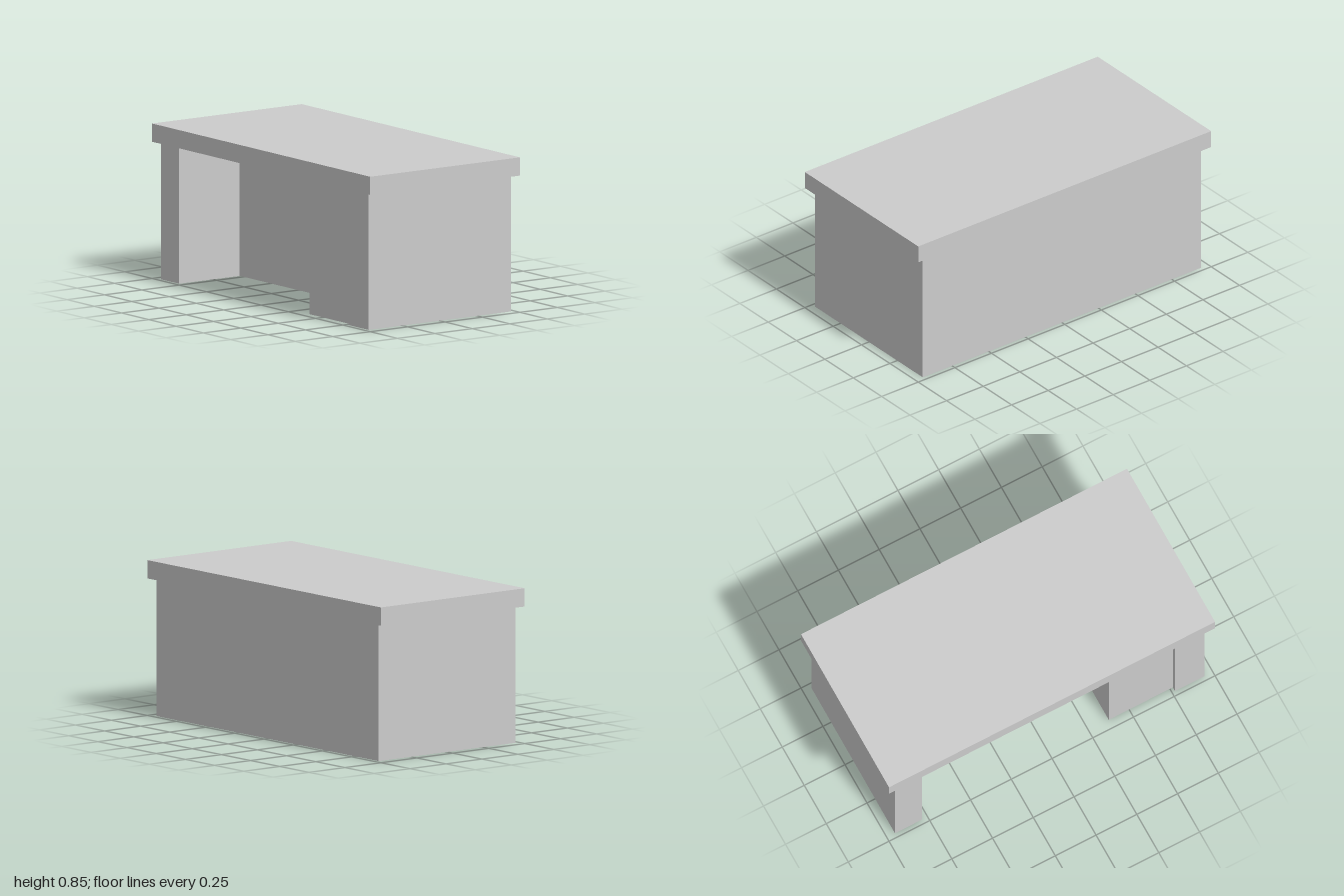
import * as THREE from 'three';

export function createModel() {
  const group = new THREE.Group();
  group.name = 'counter';
  const material = new THREE.MeshStandardMaterial({ color: 0xcccccc, flatShading: true });

  // Footprint as [x, z]: solid customer side, open knee space and stepped cupboard on the -x side
  const footprint = [
    [0.475, 0.95], [0.475, -0.95], [-0.475, -0.95], [-0.475, -0.785],
    [-0.071, -0.785], [-0.071, 0.375], [-0.45, 0.375], [-0.45, 0.768],
    [-0.475, 0.768], [-0.475, 0.95],
  ];
  const shape = new THREE.Shape(footprint.map(([x, z]) => new THREE.Vector2(x, -z)));
  const baseGeometry = new THREE.ExtrudeGeometry(shape, { depth: 0.75, bevelEnabled: false });
  baseGeometry.rotateX(-Math.PI / 2);
  const base = new THREE.Mesh(baseGeometry, material);
  base.name = 'base';
  group.add(base);

  // Overhanging slab
  const top = new THREE.Mesh(new THREE.BoxGeometry(1, 0.1, 2), material);
  top.name = 'counterTop';
  top.position.y = 0.8;
  group.add(top);

  return group;
}
